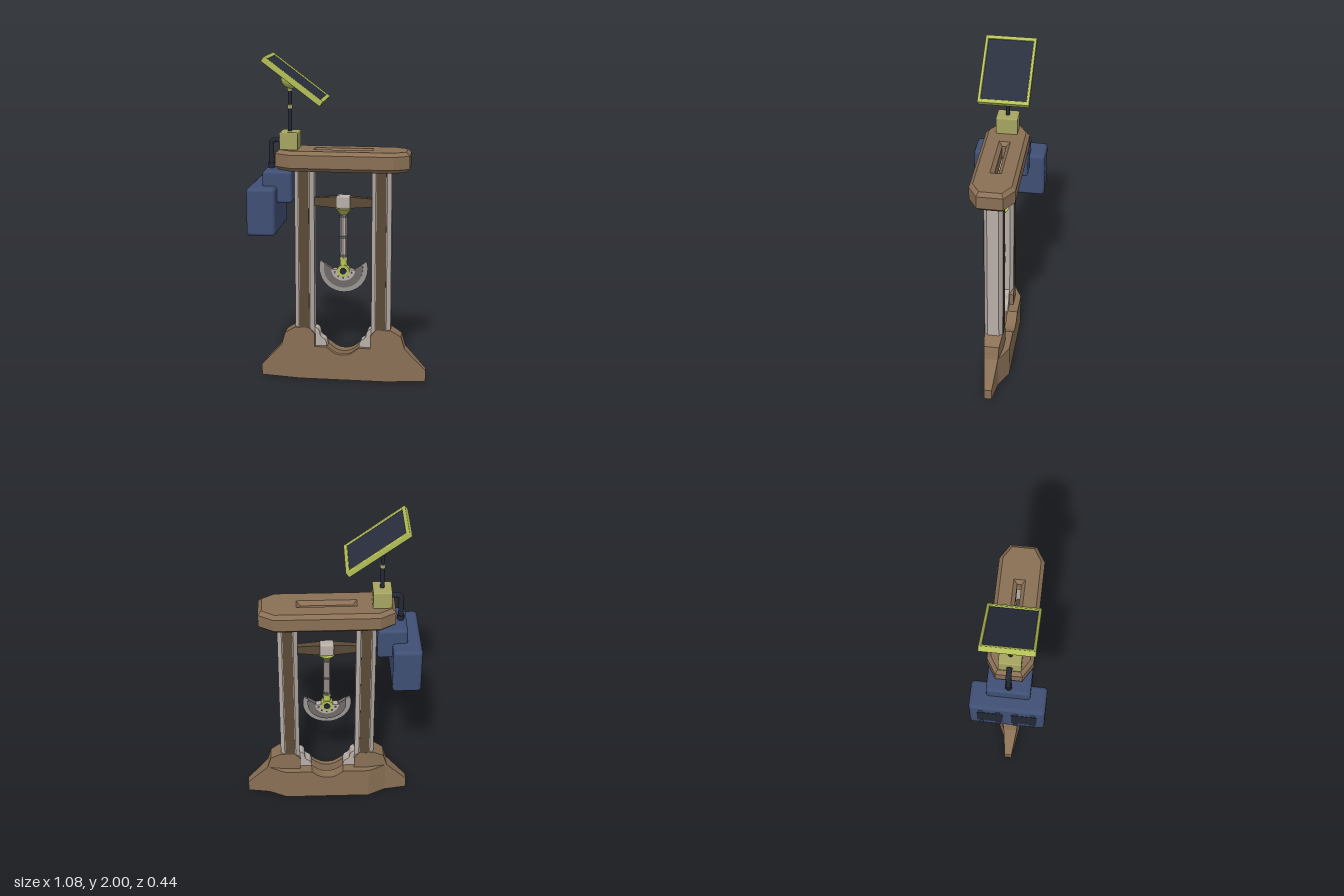
import * as THREE from 'three';
import { RoundedBoxGeometry } from 'three/addons/geometries/RoundedBoxGeometry.js';

const mat = (color, flatShading = false) => new THREE.MeshStandardMaterial({ color, flatShading });
const M = {
  brown: mat(0x8a7055, true), darkBrown: mat(0x5a4a36, true), pale: mat(0xb9afa9, true),
  steel: mat(0x6e6a68, true), edge: mat(0x9a9694, true), lime: mat(0xb4bf58),
  olive: mat(0xa6a562), blue: mat(0x3f4f74), black: mat(0x232834), screen: mat(0x2b303f),
};

function add(parent, name, geometry, material, x = 0, y = 0, z = 0) {
  const m = new THREE.Mesh(geometry, material);
  m.name = name;
  m.position.set(x, y, z);
  parent.add(m);
  return m;
}
const box = (w, h, d) => new THREE.BoxGeometry(w, h, d);
const cyl = (r1, r2, h, n = 20) => new THREE.CylinderGeometry(r1, r2, h, n);
const shapeOf = (pts) => new THREE.Shape(pts.map(([x, y]) => new THREE.Vector2(x, y)));

// Extrudes an xy shape between two z values
function slab(shape, z0, z1) {
  return new THREE.ExtrudeGeometry(shape, { depth: z1 - z0, bevelEnabled: false, curveSegments: 12 }).translate(0, 0, z0);
}

// Mirrors a list of points to -x when s is -1
const flip = (pts, s) => pts.map(([x, y]) => [x * s, y]);

function buildBase(parent) {
  const g = new THREE.Group();
  g.name = 'base';
  parent.add(g);
  // Front and back walls with a scooped top
  const wall = new THREE.Shape();
  wall.moveTo(-0.265, 0);
  wall.lineTo(0.265, 0);
  wall.lineTo(0.265, 0.21);
  wall.lineTo(0.1, 0.21);
  wall.bezierCurveTo(0.06, 0.175, 0.04, 0.162, 0, 0.162);
  wall.bezierCurveTo(-0.04, 0.162, -0.06, 0.175, -0.1, 0.21);
  wall.lineTo(-0.265, 0.21);
  add(g, 'baseFrontWall', slab(wall, 0.03, 0.06), M.brown);
  add(g, 'baseBackWall', slab(wall, -0.097, -0.03), M.brown);
  for (const s of [-1, 1]) {
    // Solid filling on each side of the central slot
    add(g, 'baseCore', box(0.153, 0.21, 0.06), M.brown, s * 0.1885, 0.105, 0);
    // Wing that narrows towards its tip
    const wing = slab(shapeOf(flip([[0.265, 0], [0.512, 0], [0.512, 0.07], [0.383, 0.21], [0.36, 0.29],
      [0.295, 0.33], [0.265, 0.33]], s)), -0.06, 0.06);
    const p = wing.attributes.position;
    for (let i = 0; i < p.count; i++) {
      const t = (Math.abs(p.getX(i)) - 0.265) / 0.247;
      p.setZ(i, p.getZ(i) * (1 - 0.62 * t));
    }
    wing.computeVertexNormals();
    add(g, 'baseWing', wing, M.brown);
    // Sloping corner that joins the back wall to the wing
    const corner = slab(shapeOf(flip([[0.265, 0.097], [0.265, 0.02], [0.375, 0.02], [0.375, 0.043]], s)), 0, 0.21);
    add(g, 'baseBackCorner', corner.rotateX(-Math.PI / 2), M.brown);
    // Collar round the foot of the post
    add(g, 'postCollar', slab(shapeOf(flip([[0.172, 0.2], [0.265, 0.2], [0.265, 0.33], [0.205, 0.33],
      [0.172, 0.29]], s)), -0.06, 0.06), M.brown);
    // Curved pale brace inside the post
    const brace = new THREE.Shape();
    brace.moveTo(s * 0.21, 0.2);
    brace.lineTo(s * 0.21, 0.33);
    brace.lineTo(s * 0.165, 0.325);
    brace.quadraticCurveTo(s * 0.145, 0.315, s * 0.143, 0.285);
    brace.quadraticCurveTo(s * 0.14, 0.265, s * 0.115, 0.255);
    brace.quadraticCurveTo(s * 0.1, 0.24, s * 0.1, 0.2);
    add(g, 'footBrace', slab(brace, -0.035, 0.035), M.pale);
  }
}

function buildFrame(parent) {
  // Eight-sided posts with dark strips on front and back
  const post = shapeOf([[0.06, 0.035], [0.035, 0.056], [-0.035, 0.056], [-0.06, 0.035],
    [-0.06, -0.035], [-0.035, -0.056], [0.035, -0.056], [0.06, -0.035]]);
  for (const s of [-1, 1]) {
    add(parent, 'post', slab(post, 0, 1.14).rotateX(-Math.PI / 2), M.pale, s * 0.235, 0.2);
    add(parent, 'postStrip', box(0.06, 1.12, 0.119), M.darkBrown, s * 0.235, 0.77);
  }
  // Bevelled top beam with a long slot
  const b = 0.022, L = 0.403 - b, W = 0.134 - b;
  const plan = shapeOf([[L, 0.065], [0.305, W], [-0.305, W], [-L, 0.065], [-L, -0.065], [-0.305, -W], [0.305, -W], [L, -0.065]]);
  const hx = 0.178, hz = 0.034;
  plan.holes.push(shapeOf([[-hx, -hz], [-hx, hz], [hx, hz], [hx, -hz]]));
  const beam = new THREE.ExtrudeGeometry(plan, {
    depth: 0.122 - 2 * b, bevelEnabled: true, bevelThickness: b, bevelSize: b, bevelSegments: 1,
  });
  add(parent, 'topBeam', beam.rotateX(-Math.PI / 2), M.brown, 0, 1.318 + b);
}

function buildPendulum(parent) {
  const g = new THREE.Group();
  g.name = 'pendulum';
  parent.add(g);
  // Crossbar thinning towards the posts
  const bar = new THREE.BoxGeometry(0.354, 0.076, 0.05, 2, 1, 1);
  const p = bar.attributes.position;
  for (let i = 0; i < p.count; i++) {
    const k = 1 - 0.35 * Math.abs(p.getX(i)) / 0.177;
    p.setXYZ(i, p.getX(i), p.getY(i) * k, p.getZ(i) * k);
  }
  add(g, 'crossbar', bar, M.darkBrown, 0, 1.117);
  add(g, 'crossbarSleeve', new RoundedBoxGeometry(0.085, 0.084, 0.06, 2, 0.012), M.pale, 0, 1.118);
  // Rod with bands
  add(g, 'rodMount', cyl(0.05, 0.022, 0.035), M.lime, 0, 1.06);
  add(g, 'rod', cyl(0.021, 0.021, 0.28, 10), M.pale, 0, 0.91);
  for (const y of [1.03, 0.9, 0.785]) add(g, 'rodBand', cyl(0.024, 0.024, 0.016, 10), M.steel, 0, y);
  // Pivot fork and hub
  add(g, 'pivotNeck', cyl(0.018, 0.024, 0.07), M.lime, 0, 0.75);
  add(g, 'pivotCollar', cyl(0.025, 0.025, 0.018), M.lime, 0, 0.765);
  add(g, 'hub', cyl(0.038, 0.038, 0.05, 24).rotateX(Math.PI / 2), M.lime, 0, 0.69);
  add(g, 'hubPin', cyl(0.02, 0.02, 0.06).rotateX(Math.PI / 2), M.black, 0, 0.69);
  // Crescent blade: thick core, thin cutting edge, inner flange
  const crescent = (ro, ri, tip, inner, d) => {
    const s = new THREE.Shape();
    s.absarc(0, 0, ro, Math.PI - tip, Math.PI * 2 + tip, false);
    s.absarc(0, 0, ri, Math.PI * 2 + inner, Math.PI - inner, true);
    return slab(s, -d, d);
  };
  add(g, 'bladeEdge', crescent(0.15, 0.11, 0.32, 0.2, 0.006), M.edge, 0, 0.703);
  add(g, 'bladeCore', crescent(0.12, 0.068, 0.25, -0.05, 0.014), M.steel, 0, 0.703);
  add(g, 'bladeFlange', crescent(0.075, 0.03, -0.1, -0.1, 0.02), M.pale, 0, 0.703);
  for (let i = 0; i < 5; i++) {
    const a = Math.PI * (1.14 + 0.18 * i);
    add(g, 'flangeBolt', cyl(0.006, 0.006, 0.048, 8).rotateX(Math.PI / 2), M.steel,
      0.058 * Math.cos(a), 0.703 + 0.058 * Math.sin(a));
  }
}

function buildPower(parent) {
  const g = new THREE.Group();
  g.name = 'powerUnit';
  parent.add(g);
  // Blue battery housings
  add(g, 'upperHousing', new RoundedBoxGeometry(0.178, 0.195, 0.257, 3, 0.018), M.blue, -0.361, 1.222);
  add(g, 'lowerHousing', new RoundedBoxGeometry(0.172, 0.29, 0.444, 3, 0.022), M.blue, -0.446, 1.085);
  for (const s of [-1, 1]) {
    add(g, 'ventPanel', box(0.006, 0.15, 0.15), M.black, -0.531, 1.08, s * 0.1);
    for (const z of [0.05, 0.15]) for (const y of [0.985, 1.178]) {
      add(g, 'housingBolt', cyl(0.013, 0.013, 0.014, 8).rotateZ(Math.PI / 2), M.blue, -0.533, y, s * z);
    }
  }
  // Junction box and cable
  add(g, 'junctionBox', new RoundedBoxGeometry(0.112, 0.11, 0.132, 2, 0.008), M.olive, -0.3, 1.49);
  const path = new THREE.CurvePath();
  const v = (x, y) => new THREE.Vector3(x, y, 0);
  path.add(new THREE.LineCurve3(v(-0.34, 1.49), v(-0.385, 1.49)));
  path.add(new THREE.QuadraticBezierCurve3(v(-0.385, 1.49), v(-0.414, 1.49), v(-0.414, 1.46)));
  path.add(new THREE.LineCurve3(v(-0.414, 1.46), v(-0.414, 1.31)));
  add(g, 'cable', new THREE.TubeGeometry(path, 30, 0.016, 12), M.black);
  add(g, 'cableCollar', cyl(0.021, 0.021, 0.03), M.black, -0.414, 1.335);
  // Mast
  add(g, 'mast', cyl(0.012, 0.012, 0.3), M.black, -0.299, 1.68);
  add(g, 'mastRing', cyl(0.016, 0.016, 0.022), M.olive, -0.299, 1.692);
  add(g, 'mastCap', cyl(0.02, 0.014, 0.03), M.olive, -0.299, 1.8);
  // Tilted solar panel
  const panel = new THREE.Group();
  panel.name = 'solarPanel';
  panel.position.set(-0.262, 1.856, -0.002);
  panel.rotation.z = -0.645;
  g.add(panel);
  const dome = new THREE.SphereGeometry(0.062, 24, 8, 0, Math.PI * 2, Math.PI / 2, Math.PI / 2);
  add(panel, 'panelMount', dome, M.lime, -0.025, -0.014);
  add(panel, 'panelBack', box(0.425, 0.016, 0.29), M.lime, 0, -0.01);
  for (const s of [-1, 1]) {
    add(panel, 'panelSideRail', new RoundedBoxGeometry(0.435, 0.036, 0.019, 2, 0.005), M.lime, 0, 0, s * 0.143);
    add(panel, 'panelEndRail', new RoundedBoxGeometry(0.024, 0.036, 0.3, 2, 0.005), M.lime, s * 0.206);
  }
  add(panel, 'panelScreen', box(0.395, 0.012, 0.27), M.screen, 0, 0.004);
}

export function createModel() {
  const model = new THREE.Group();
  model.name = 'pendulumGate';
  const frame = new THREE.Group();
  frame.name = 'gate';
  frame.position.set(0.024, 0, -0.003);
  model.add(frame);
  buildBase(frame);
  buildFrame(frame);
  buildPendulum(frame);
  buildPower(model);
  return model;
}
